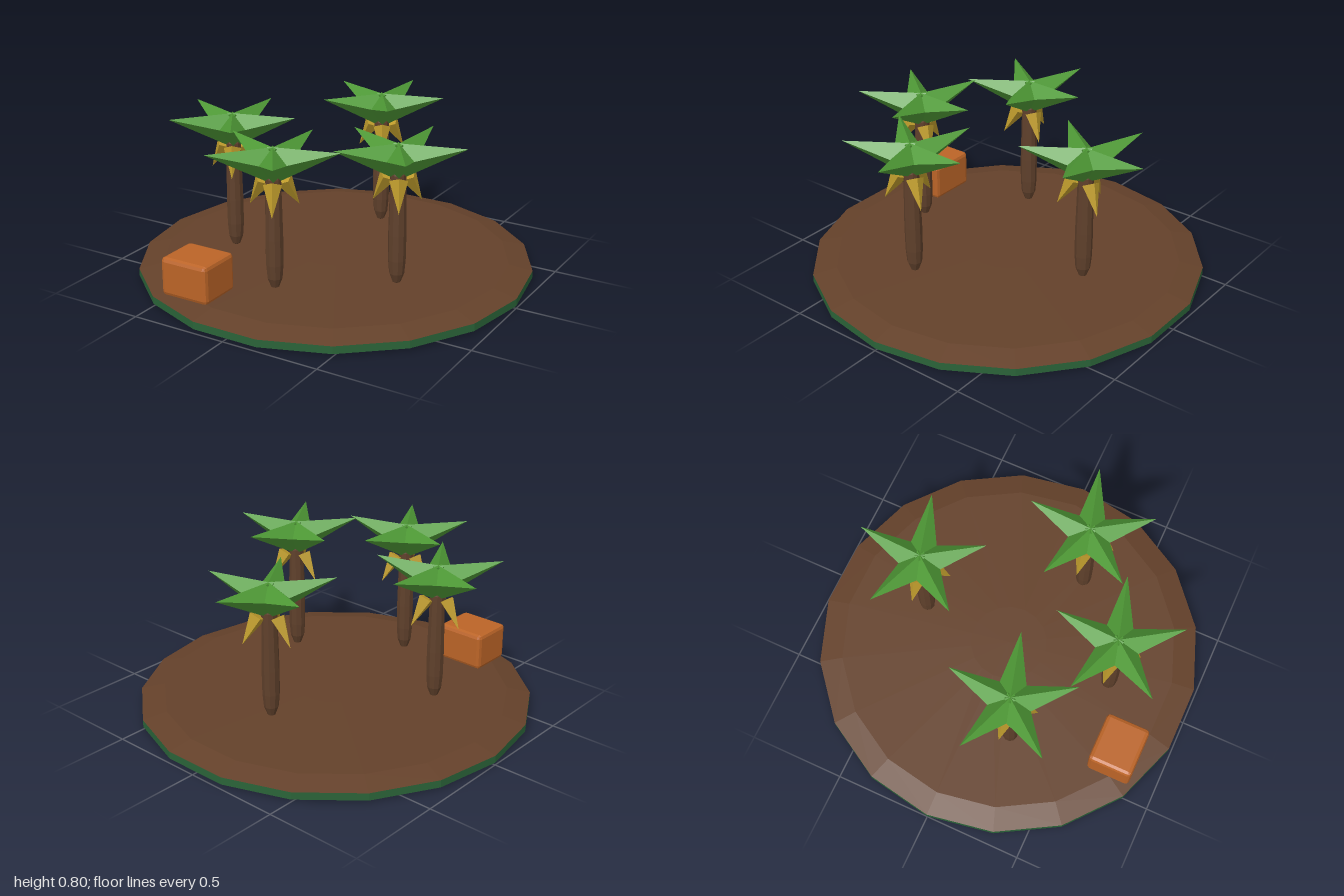
import * as THREE from 'three';
import { RoundedBoxGeometry } from 'three/addons/geometries/RoundedBoxGeometry.js';

const paint = (color) => new THREE.MeshStandardMaterial({ color, flatShading: true });
const soil = paint(0x64412a);
const grass = paint(0x2a6338);
const bark = paint(0x5f402b);
const leafGreen = paint(0x4f9a36);
const husk = paint(0xbf9c2c);
const wood = paint(0xbb6427);

function part(name, geometry, material) {
  const mesh = new THREE.Mesh(geometry, material);
  mesh.name = name;
  return mesh;
}

const lathe = (points, sides, start = 0) =>
  new THREE.LatheGeometry(points.map(([r, y]) => new THREE.Vector2(r, y)), sides, start);

// Four-sided spike whose tip sits at (x, y), leaning away from vertical, turned about the trunk
function spike(name, radius, length, lean, x, y, turn, material) {
  const geometry = new THREE.ConeGeometry(radius, length, 4);
  geometry.translate(0, -length / 2, 0);
  geometry.rotateZ(-lean);
  geometry.translate(x, y, 0);
  geometry.rotateY(turn);
  return part(name, geometry, material);
}

function palmTree(x, z) {
  const tree = new THREE.Group();
  tree.name = 'palmTree';
  const trunkProfile = [[0, 0.095], [0.02, 0.105], [0.037, 0.15], [0.043, 0.22],
    [0.044, 0.35], [0.041, 0.5], [0.038, 0.65], [0.025, 0.7], [0, 0.71]];
  tree.add(part('trunk', lathe(trunkProfile, 10), bark));

  // Star-shaped crown of five leaves with level top ridges
  for (let i = 0; i < 5; i++) {
    const turn = THREE.MathUtils.degToRad(87.4 + i * 72);
    tree.add(spike('leaf', 0.088, 0.34, THREE.MathUtils.degToRad(75.5), 0.325, 0.8, turn, leafGreen));
  }
  // Three dry fronds hanging below the crown
  for (let i = 0; i < 3; i++) {
    const turn = Math.PI + i * Math.PI * 2 / 3;
    tree.add(spike('dryFrond', 0.044, 0.158, THREE.MathUtils.degToRad(150), 0.135, 0.5, turn, husk));
  }
  tree.position.set(x, 0, z);
  return tree;
}

export function createModel() {
  const model = new THREE.Group();
  model.name = 'palmIsland';

  // Eighteen-sided island: grassy underside and rim, gently domed soil on top
  const island = new THREE.Group();
  island.name = 'island';
  island.add(part('islandBase', lathe([[0, 0], [0.18, 0.001], [1, 0.012], [1, 0.05]], 18, Math.PI / 2), grass));
  island.add(part('islandTop', lathe([[1, 0.05], [0.88, 0.077], [0.2, 0.086], [0, 0.087]], 18, Math.PI / 2), soil));
  model.add(island);

  for (const [x, z] of [[0, -0.47], [-0.467, 0.22], [0.469, 0.22], [0, 0.565]]) {
    model.add(palmTree(x, z));
  }

  // Chamfered crate
  const crate = part('crate', new RoundedBoxGeometry(0.262, 0.194, 0.23, 1, 0.02), wood);
  crate.position.set(-0.316, 0.168, 0.75);
  model.add(crate);

  return model;
}
